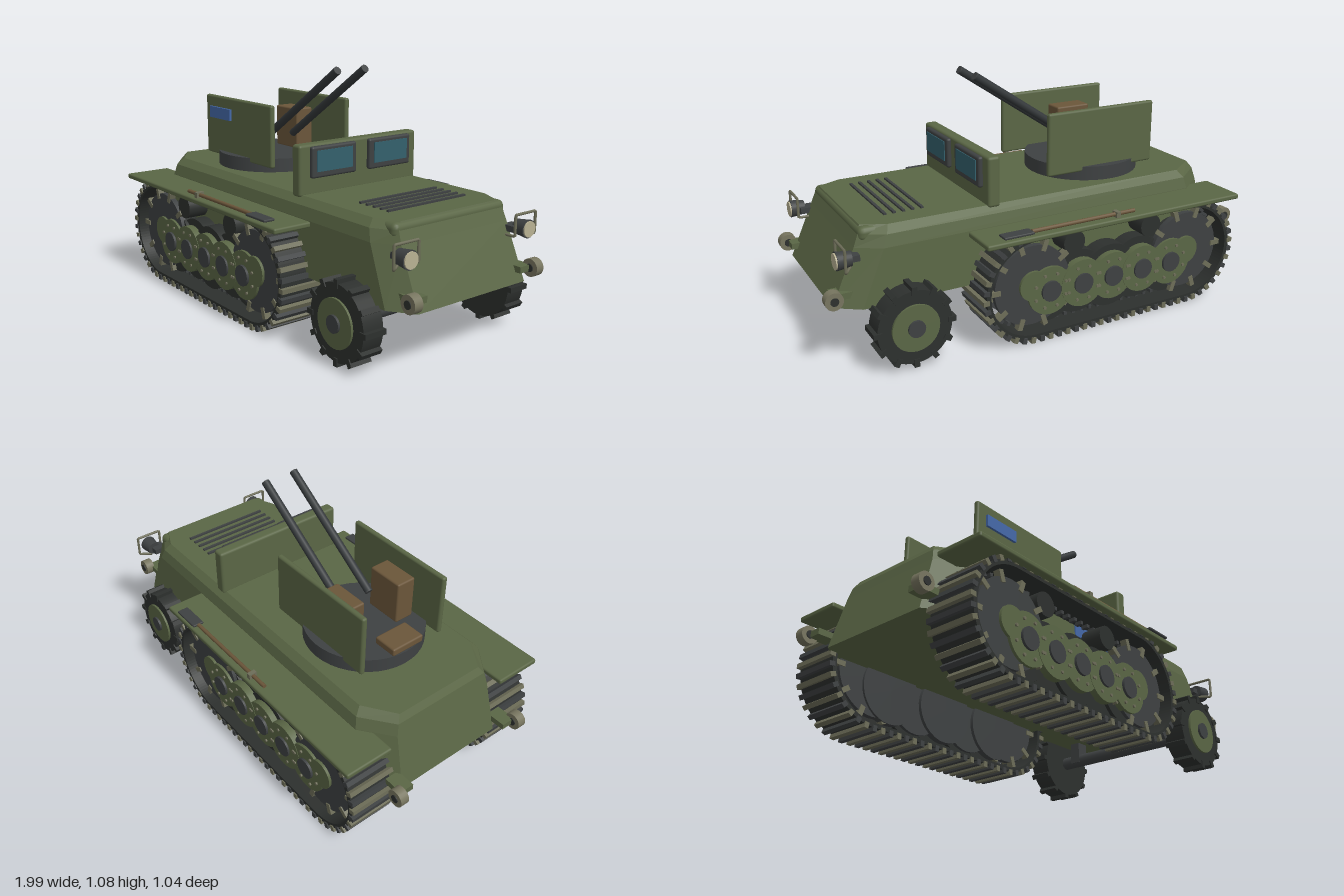
import * as THREE from 'three';
import { RoundedBoxGeometry } from 'three/addons/geometries/RoundedBoxGeometry.js';

const mat = (color) => new THREE.MeshStandardMaterial({ color, flatShading: false });
const M = {
  green: mat(0x5a6645), dark: mat(0x3e4142), rubber: mat(0x2d302e), brown: mat(0x6b563a), link: mat(0x6d6d58),
  blue: mat(0x4468a8), glass: mat(0x33606c), lamp: mat(0xb8b193), steel: mat(0x34383a),
};

export function createModel() {
  const root = new THREE.Group();
  const add = (name, geo, m, x = 0, y = 0, z = 0, parent = root) => {
    const o = new THREE.Mesh(geo, m);
    o.name = name;
    o.position.set(x, y, z);
    parent.add(o);
    return o;
  };
  // box from its limits on each axis
  const box = (name, m, x0, x1, y0, y1, z0, z1, r = 0, parent = root) => {
    const s = [x1 - x0, y1 - y0, z1 - z0];
    const g = r ? new RoundedBoxGeometry(...s, 2, r) : new THREE.BoxGeometry(...s);
    return add(name, g, m, (x0 + x1) / 2, (y0 + y1) / 2, (z0 + z1) / 2, parent);
  };
  // disc with its axis along z
  const disc = (name, m, r, x, y, z0, z1, parent, seg = 32) =>
    add(name, new THREE.CylinderGeometry(r, r, z1 - z0, seg).rotateX(Math.PI / 2), m, x, y, (z0 + z1) / 2, parent);

  // Hull: stacked eight-cornered rings [y, rear x, front x, half width, corner cut, front face half width]
  const ring = ([y, xr, xf, w, cut, wf]) => [
    [xr, y, w - cut], [xr + 0.13, y, w], [xf - 0.1, y, w], [xf, y, wf],
    [xf, y, -wf], [xf - 0.1, y, -w], [xr + 0.13, y, -w], [xr, y, -w + cut]];
  const rings = [
    [0.27, -0.91, 0.95, 0.36, 0.1, 0.29],
    [0.5, -0.85, 0.85, 0.347, 0.1, 0.285],
    [0.55, -0.838, 0.83, 0.335, 0.1, 0.28],
    [0.58, -0.82, 0.815, 0.305, 0.09, 0.26]].map(ring);
  const v = [];
  const tri = (a, b, c) => v.push(...a, ...b, ...c);
  for (let k = 0; k < rings.length - 1; k++) {
    for (let i = 0; i < 8; i++) {
      const j = (i + 1) % 8, lo = rings[k], hi = rings[k + 1];
      tri(lo[i], lo[j], hi[j]);
      tri(lo[i], hi[j], hi[i]);
    }
  }
  const top = rings[rings.length - 1], low = rings[0];
  for (let i = 1; i < 7; i++) {
    tri(top[0], top[i], top[i + 1]);
    tri(low[0], low[i + 1], low[i]);
  }
  const hull = new THREE.BufferGeometry();
  hull.setAttribute('position', new THREE.Float32BufferAttribute(v, 3));
  hull.computeVertexNormals();
  add('hull', hull, M.green);
  box('hoodNose', M.green, 0.71, 0.83, 0.515, 0.578, -0.3, 0.3, 0.025);
  [0.53, 0.57, 0.61, 0.65, 0.69].forEach((x) => box('hoodLouvre', M.dark, x - 0.006, x + 0.006, 0.575, 0.588, -0.21, 0.21));

  // Windshield
  box('windshield', M.green, 0.23, 0.285, 0.57, 0.785, -0.32, 0.32, 0.012);

  // Turret
  add('turretRing', new THREE.CylinderGeometry(0.26, 0.26, 0.065, 40), M.dark, -0.36, 0.61, 0);
  box('rearSeat', M.brown, -0.63, -0.52, 0.66, 0.695, -0.08, 0.08, 0.008);
  box('seatPost', M.dark, -0.59, -0.54, 0.63, 0.665, -0.03, 0.03);
  box('identityPatch', M.blue, -0.55, -0.375, 0.795, 0.848, 0.221, 0.234);

  // Track path: a stadium around the two end wheels
  const XR = -0.64, XF = 0.15, CY = 0.25, R = 0.222;
  const stadium = (Shape, r) => {
    const s = new Shape();
    s.moveTo(XR, CY - r);
    s.lineTo(XF, CY - r);
    s.absarc(XF, CY, r, -Math.PI / 2, Math.PI / 2, false);
    s.lineTo(XR, CY + r);
    s.absarc(XR, CY, r, Math.PI / 2, Math.PI * 1.5, false);
    return s;
  };
  const beltShape = stadium(THREE.Shape, R + 0.008);
  beltShape.holes.push(stadium(THREE.Path, R - 0.012));
  const beltGeo = new THREE.ExtrudeGeometry(beltShape, { depth: 0.21, bevelEnabled: false, curveSegments: 24 });
  const linkPath = stadium(THREE.Path, R + 0.012);

  const toothed = (name, m, n, r, x, y, z, size, parent) => {
    for (let i = 0; i < n; i++) {
      const a = (i / n) * Math.PI * 2;
      add(name, new THREE.BoxGeometry(...size), m, x + r * Math.cos(a), y + r * Math.sin(a), z, parent).rotation.z = a;
    }
  };

  for (const s of [1, -1]) {
    const tag = s > 0 ? 'right' : 'left';
    const span = (name, m, x0, x1, y0, y1, a, b, r = 0) =>
      box(name, m, x0, x1, y0, y1, Math.min(s * a, s * b), Math.max(s * a, s * b), r);

    // Windows, fenders, shields and seats
    span('windowFrame', M.dark, 0.28, 0.305, 0.645, 0.777, 0.035, 0.27, 0.01);
    span('windowGlass', M.glass, 0.3, 0.309, 0.672, 0.76, 0.06, 0.247);
    span('fender', M.green, -0.88, 0.39, 0.474, 0.498, 0.3, 0.52, 0.008);
    span('sidePatch', M.blue, -0.14, 0.1, 0.41, 0.46, 0.34, 0.356);
    span('gunShield', M.green, -0.6, -0.055, 0.62, 0.9, 0.198, 0.223, 0.01);
    span('gunnerSeat', M.brown, -0.46, -0.29, 0.64, 0.835, 0.09, 0.182, 0.008);

    // Gun barrel
    const a = new THREE.Vector3(-0.3, 0.72, s * 0.075), b = new THREE.Vector3(0.22, 1.065, s * 0.075);
    add('gunBarrel', new THREE.TubeGeometry(new THREE.LineCurve3(a, b), 1, 0.018, 14), M.steel);
    for (const [p, turn] of [[a, 1], [b, -1]]) {
      const cap = add('barrelCap', new THREE.CylinderGeometry(0.018, 0.018, 0.006, 14), M.dark, p.x, p.y, p.z);
      cap.rotation.z = Math.atan2(0.345, 0.52) - Math.PI / 2;
    }

    // Shovel on the fender
    const handle = add('shovelHandle', new THREE.CylinderGeometry(0.009, 0.009, 0.5, 8), M.brown, -0.07, 0.511, s * 0.49);
    handle.rotation.z = Math.PI / 2;
    span('shovelBlade', M.dark, 0.18, 0.315, 0.506, 0.517, 0.464, 0.516, 0.004);
    span('shovelClip', M.link, -0.24, -0.22, 0.495, 0.523, 0.472, 0.508);

    // Headlight with its guard
    const lamp = add('headlight', new THREE.CylinderGeometry(0.038, 0.03, 0.06, 24), M.dark, 0.905, 0.475, s * 0.32);
    lamp.rotation.z = -Math.PI / 2;
    const lens = add('headlightLens', new THREE.CylinderGeometry(0.033, 0.033, 0.008, 24), M.lamp, 0.937, 0.475, s * 0.32);
    lens.rotation.z = Math.PI / 2;
    span('headlightStem', M.dark, 0.84, 0.9, 0.46, 0.485, 0.27, 0.33);
    const guard = [[0.86, 0.45, 0.26], [0.915, 0.45, 0.262], [0.915, 0.537, 0.262], [0.915, 0.537, 0.382], [0.915, 0.445, 0.382], [0.88, 0.445, 0.33]]
      .map(([x, y, z]) => new THREE.Vector3(x, y, s * z));
    const wire = new THREE.CurvePath();
    for (let i = 0; i < 5; i++) wire.add(new THREE.LineCurve3(guard[i], guard[i + 1]));
    add('headlightGuard', new THREE.TubeGeometry(wire, 60, 0.006, 8), M.link);

    // Tow rollers at the four corners
    for (const x of [0.957, -0.962]) {
      const roller = new THREE.Group();
      roller.name = 'towRoller';
      root.add(roller);
      disc('rollerBody', M.lamp.clone(), 0.037, x, 0.323, s * 0.33 - 0.02, s * 0.33 + 0.02, roller, 24).material.color.set(0x77755f);
      disc('rollerCore', M.rubber, 0.017, x, 0.323, s * 0.33 - 0.024, s * 0.33 + 0.024, roller, 16);
      span('rollerArm', M.green, Math.min(x, x * 0.91), Math.max(x, x * 0.91), 0.31, 0.336, 0.255, 0.32);
    }

    // Running gear, built on the +z side and mirrored by offsetting z
    const gear = new THREE.Group();
    gear.name = tag + 'RunningGear';
    root.add(gear);
    const gd = (name, m, r, x, y, z0, z1, seg) =>
      disc(name, m, r, x, y, Math.min(s * z0, s * z1), Math.max(s * z0, s * z1), gear, seg);

    // Front wheel
    gd('frontTyre', M.rubber, 0.157, 0.67, 0.185, 0.345, 0.44, 40);
    toothed('tyreLug', M.rubber, 12, 0.156, 0.67, 0.185, s * 0.395, [0.035, 0.022, 0.1], gear);
    gd('frontWheelDisc', M.green, 0.1, 0.67, 0.185, 0.43, 0.45);
    gd('frontWheelHub', M.dark, 0.036, 0.67, 0.185, 0.44, 0.46, 20);
    gd('frontAxle', M.dark, 0.03, 0.67, 0.185, 0, 0.35, 12);
    span('axleMount', M.dark, 0.64, 0.7, 0.17, 0.29, 0.24, 0.29);

    // Track belt and links
    add('trackBelt', beltGeo, M.rubber, 0, 0, s > 0 ? 0.275 : -0.485, gear);
    const pad = new THREE.BoxGeometry(0.02, 0.026, 0.22);
    const horn = new THREE.BoxGeometry(0.015, 0.018, 0.03);
    const N = 72;
    for (let i = 0; i < N; i++) {
      const p = linkPath.getPointAt(i / N), t = linkPath.getTangentAt(i / N);
      const ang = Math.atan2(t.y, t.x);
      add('trackLink', pad, i % 2 ? M.link : M.dark, p.x, p.y, s * 0.38, gear).rotation.z = ang;
      add('guideHorn', horn, M.dark, p.x - t.y * 0.03, p.y + t.x * 0.03, s * 0.38, gear).rotation.z = ang;
    }

    // End wheels with teeth, inside and outside
    for (const x of [XR, XF]) {
      gd('endWheel', M.dark, 0.178, x, CY, 0.425, 0.45, 40);
      gd('endWheelInner', M.dark, 0.178, x, CY, 0.3, 0.325, 40);
      gd('endWheelDrum', M.rubber, 0.13, x, CY, 0.32, 0.43);
      toothed('sprocketTooth', M.link, 10, 0.178, x, CY, s * 0.44, [0.05, 0.022, 0.03], gear);
      toothed('sprocketTooth', M.link, 10, 0.178, x, CY, s * 0.31, [0.05, 0.022, 0.03], gear);
      gd('endWheelBoss', M.green, 0.066, x, 0.25, 0.44, 0.462, 24);
    }

    // Overlapping road wheels, bolts and return rollers
    [-0.555, -0.4, -0.245, -0.09, 0.07].forEach((x, i) => {
      const z = i % 2 ? 0.4 : 0.415;
      gd('roadTyre', M.rubber, 0.145, x, 0.205, z - 0.05, z + 0.02);
      gd('roadTyreInner', M.dark, 0.145, x, 0.205, 0.29 + (i % 2) * 0.015, 0.32);
      gd('roadWheelDisc', M.green, 0.108, x, 0.213, 0.43, 0.462 + (i % 2) * 0.002);
      gd('roadWheelHub', M.dark, 0.046, x, 0.213, 0.455, 0.473, 20);
      for (let k = 0; k < 8; k++) {
        const q = ((k + 0.5) / 8) * Math.PI * 2;
        gd('wheelBolt', M.link, 0.007, x + 0.078 * Math.cos(q), 0.213 + 0.078 * Math.sin(q), 0.455, 0.469, 8);
      }
    });
    for (const x of [-0.445, -0.05]) gd('returnRoller', M.rubber, 0.052, x, 0.402, 0.3, 0.45, 24);
  }
  return root;
}
